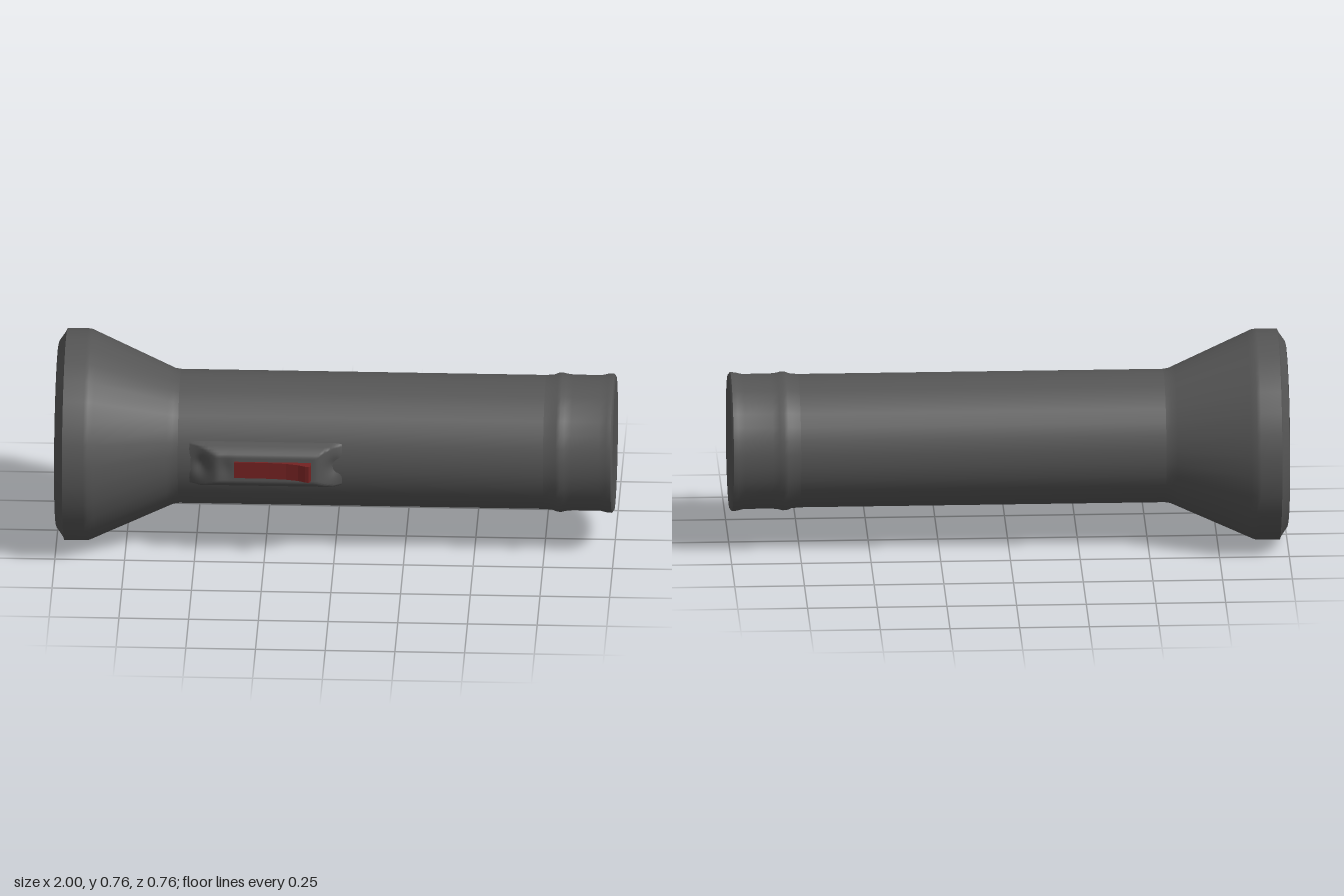
import * as THREE from 'three';

const AXIS_Y = 0.38;
const SIDES = 30;

export function createModel() {
  const model = new THREE.Group();
  model.name = 'flashlight';

  const grey = new THREE.MeshStandardMaterial({ color: 0x555555 });
  grey.name = 'dark grey plastic';
  const red = new THREE.MeshStandardMaterial({ color: 0x742222 });
  red.name = 'dark red switch';

  // Turned part along x; profile points are [x, radius]
  function turned(name, profile) {
    const points = profile.map(([x, r]) => new THREE.Vector2(r, x));
    const mesh = new THREE.Mesh(new THREE.LatheGeometry(points, SIDES, Math.PI / 2), grey);
    mesh.name = name;
    mesh.rotation.z = -Math.PI / 2;
    mesh.position.y = AXIS_Y;
    model.add(mesh);
  }

  // Lens and its rim
  turned('lens', [[-0.99, 0], [-0.99, 0.325]]);
  turned('lensRim', [[-0.988, 0.322], [-1, 0.328], [-0.998, 0.335], [-0.975, 0.368], [-0.97, 0.38]]);

  // Flared head running into the barrel
  turned('head', [[-0.97, 0.38], [-0.895, 0.38], [-0.88, 0.378], [-0.86, 0.369],
    [-0.6, 0.252], [-0.58, 0.243], [-0.56, 0.24]]);
  turned('barrel', [[-0.56, 0.24], [0.75, 0.24]]);

  // Tail cap with a rounded ridge and a flared lip
  turned('tailCap', [[0.75, 0.24], [0.78, 0.243], [0.795, 0.249], [0.81, 0.25], [0.825, 0.246],
    [0.85, 0.243], [0.95, 0.243], [0.975, 0.249], [0.992, 0.25]]);
  turned('tailEnd', [[0.992, 0.25], [1, 0.24], [0.999, 0.215], [0.995, 0.19], [0.995, 0]]);

  // Raised switch housing: a height field with sloped ends and thumb dimples
  const xMin = -0.53, xMax = 0.04, yHalf = 0.085;
  const housing = new THREE.PlaneGeometry(xMax - xMin, 2 * yHalf, 56, 24);
  housing.translate((xMin + xMax) / 2, 0, 0);
  const pos = housing.attributes.position;
  const ramp = (v, a, b) => THREE.MathUtils.clamp((v - a) / (b - a), 0, 1);
  const dimple = (x, y, cx, r) => Math.exp(-(((x - cx) / r) ** 2) - (y / 0.035) ** 2);
  for (let i = 0; i < pos.count; i++) {
    const x = pos.getX(i), y = pos.getY(i);
    const ends = Math.min(ramp(x, -0.53, -0.42), 1 - ramp(x, -0.06, 0.04));
    const sides = 1 - ramp(Math.abs(y), 0.052, yHalf);
    const dents = 0.018 * (dimple(x, y, -0.475, 0.025) + dimple(x, y, 0, 0.025))
      + 0.006 * dimple(x, y, -0.385, 0.02);
    const base = Math.sqrt(0.237 ** 2 - y * y) - 0.004;
    const height = base + (0.284 - base) * Math.min(ends, Math.sqrt(sides));
    pos.setZ(i, height - dents);
  }
  housing.computeVertexNormals();
  const housingMesh = new THREE.Mesh(housing, grey);
  housingMesh.name = 'switchHousing';
  housingMesh.position.y = AXIS_Y;
  model.add(housingMesh);

  // Sliding switch: low bar rising to a thumb catch, drawn in x and z
  const side = new THREE.Shape();
  [[-0.355, -0.26], [-0.08, -0.26], [-0.08, -0.315], [-0.088, -0.321], [-0.1, -0.318],
    [-0.125, -0.306], [-0.17, -0.296], [-0.23, -0.291], [-0.355, -0.289]]
    .forEach(([x, z], i) => (i ? side.lineTo(x, z) : side.moveTo(x, z)));
  const button = new THREE.ExtrudeGeometry(side, { depth: 0.062, bevelEnabled: false });
  button.translate(0, 0, -0.031);
  button.rotateX(-Math.PI / 2);
  const buttonMesh = new THREE.Mesh(button, red);
  buttonMesh.name = 'switchButton';
  buttonMesh.position.y = AXIS_Y;
  model.add(buttonMesh);

  return model;
}
